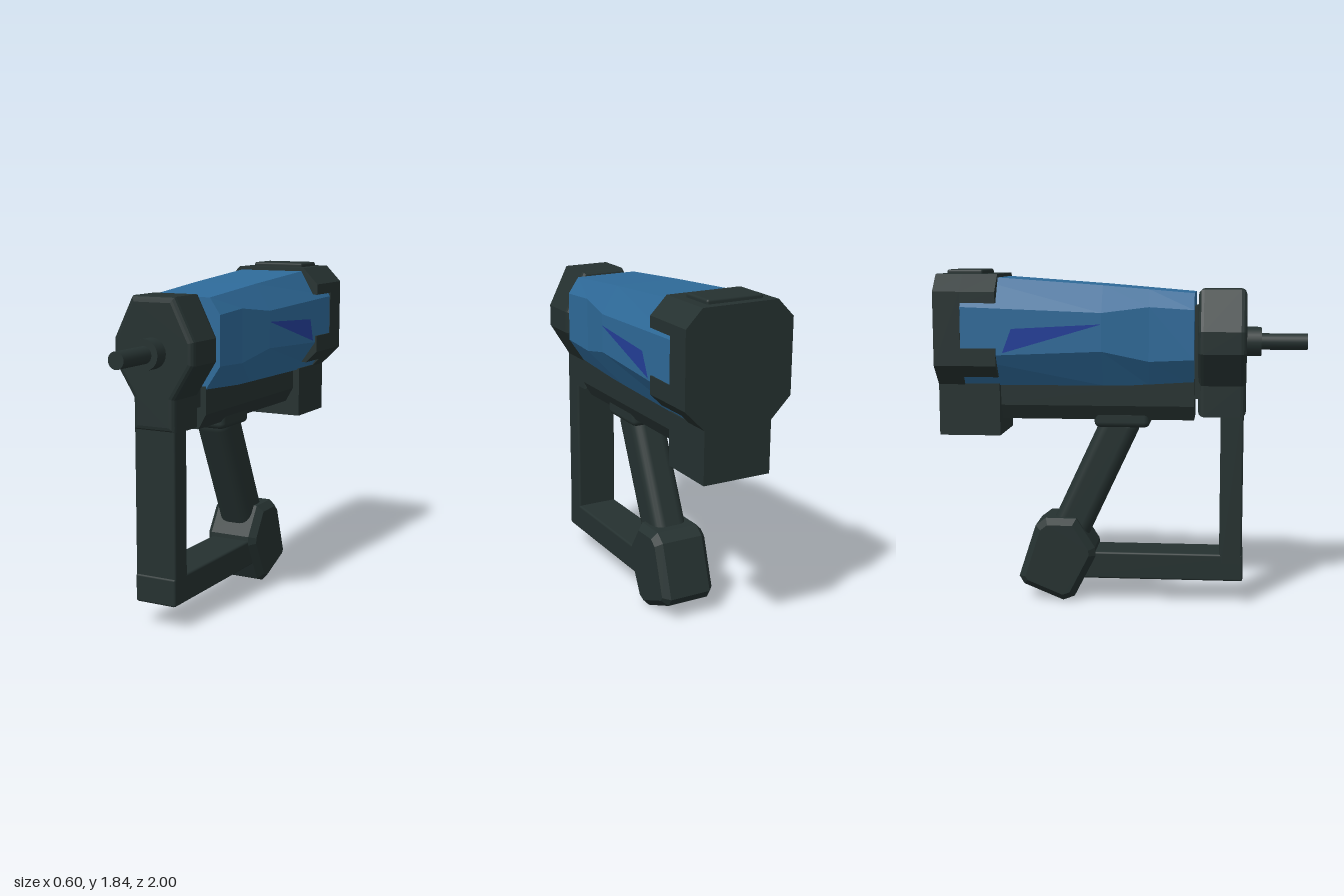
import * as THREE from 'three';
import { RoundedBoxGeometry } from 'three/addons/geometries/RoundedBoxGeometry.js';

const mat = (name, color) => Object.assign(new THREE.MeshStandardMaterial({ color }), { name });

// half outline (top to bottom, +x side) mirrored into a counter-clockwise ring
const mirrorRing = (half) => [...half.slice().reverse(), ...half.map(([x, y]) => [-x, y])];

// outline in XY extruded between z0 and z1, bevel kept inside the outline
function prism(points, z0, z1, bevel = 0, segments = 1) {
  const shape = new THREE.Shape(points.map(([x, y]) => new THREE.Vector2(x, y)));
  const geo = new THREE.ExtrudeGeometry(shape, {
    depth: z1 - z0 - 2 * bevel, bevelEnabled: bevel > 0, bevelThickness: bevel,
    bevelSize: bevel, bevelOffset: -bevel, bevelSegments: segments,
  });
  return geo.translate(0, 0, z0 + bevel);
}

// closed loft through rings of [x, y] placed at descending z
function loft(stations) {
  const pos = [];
  const rings = stations.map(({ z, ring }) => ring.map(([x, y]) => [x, y, z]));
  const n = rings[0].length;
  for (let i = 0; i < rings.length - 1; i++) {
    for (let j = 0; j < n; j++) {
      const k = (j + 1) % n;
      const a = rings[i][j], b = rings[i][k], c = rings[i + 1][k], d = rings[i + 1][j];
      pos.push(...a, ...d, ...b, ...b, ...d, ...c);
    }
  }
  const first = rings[0], last = rings[rings.length - 1];
  for (let j = 1; j < n - 1; j++) {
    pos.push(...first[0], ...first[j], ...first[j + 1]);
    pos.push(...last[0], ...last[j + 1], ...last[j]);
  }
  const geo = new THREE.BufferGeometry();
  geo.setAttribute('position', new THREE.Float32BufferAttribute(pos, 3));
  geo.computeVertexNormals();
  return geo;
}

export function createModel() {
  const group = new THREE.Group();
  const dark = mat('darkCasing', 0x253130);
  const blue = mat('blueShell', 0x2e6a99);
  const accent = mat('indigoAccent', 0x25409c);
  accent.side = THREE.DoubleSide;

  const add = (name, geo, material, x = 0, y = 0, z = 0) => {
    const mesh = new THREE.Mesh(geo, material);
    mesh.name = name;
    mesh.position.set(x, y, z);
    group.add(mesh);
    return mesh;
  };
  const box = (name, w, h, d, r, x, y, z) =>
    add(name, new RoundedBoxGeometry(w, h, d, 2, r), dark, x, y, z);

  // faceted blue shell, widening to the rear
  // z, top half width, top y, side half width, shoulder y, lower crease y, bottom half width
  const sections = [
    [0.39, 0.175, 1.722, 0.235, 1.635, 1.37, 0.135],
    [0.15, 0.18, 1.742, 0.237, 1.65, 1.36, 0.145],
    [-0.1, 0.185, 1.763, 0.274, 1.62, 1.415, 0.155],
    [-0.87, 0.2, 1.818, 0.297, 1.65, 1.385, 0.182],
  ];
  add('shell', loft(sections.map(([z, t, ty, w, sy, ly, b]) => ({
    z, ring: mirrorRing([[t, ty], [w, sy], [w, ly], [b, 1.222]]),
  }))), blue);

  // accent facets on both sides
  for (const s of [1, -1]) {
    const facet = new THREE.BufferGeometry();
    facet.setAttribute('position', new THREE.Float32BufferAttribute([
      s * 0.276, 1.56, -0.1, s * 0.298, 1.535, -0.58, s * 0.293, 1.405, -0.63], 3));
    if (s < 0) facet.setIndex([0, 2, 1]);
    else facet.setIndex([0, 1, 2]);
    facet.computeVertexNormals();
    add(s > 0 ? 'leftAccent' : 'rightAccent', facet, accent);
  }

  // chamfered rail beneath the shell
  add('underBody', prism(mirrorRing([[0.15, 1.26], [0.15, 1.11], [0.105, 1.03]]), -0.7, 0.39), dark);

  // rear cap with forward arms framing the shell
  add('rearCap', prism(mirrorRing(
    [[0.21, 1.822], [0.3, 1.73], [0.3, 1.335], [0.19, 1.225]]), -1, -0.855), dark);
  add('rearCapTopArm', prism(mirrorRing(
    [[0.21, 1.822], [0.3, 1.73], [0.3, 1.67]]), -0.855, -0.665), dark);
  const arm = [[0.2, 1.27], [0.235, 1.27], [0.3, 1.335], [0.3, 1.43], [0.2, 1.43]];
  add('rearCapLeftArm', prism(arm, -0.855, -0.665), dark);
  add('rearCapRightArm', prism(arm.map(([x, y]) => [-x, y]), -0.855, -0.665), dark);
  add('rearBlock', new THREE.BoxGeometry(0.38, 0.285, 0.335), dark, 0, 1.088, -0.8325);
  box('topPad', 0.314, 0.06, 0.197, 0.012, 0, 1.815, -0.852);

  // front housing and its neck
  add('frontHousing', prism(mirrorRing([[0.125, 1.74], [0.235, 1.52], [0.235, 1.4],
    [0.122, 1.22], [0.122, 1.05]]), 0.41, 0.67, 0.03, 3), dark);
  add('neck', new THREE.BoxGeometry(0.234, 0.5, 0.06), dark, 0, 1.4, 0.4);

  // collar and rod
  const rod = (name, r, z0, z1) => add(name,
    new THREE.CylinderGeometry(r, r, z1 - z0, 24).rotateX(Math.PI / 2), dark, 0, 1.455, (z0 + z1) / 2);
  rod('collar', 0.08, 0.65, 0.75);
  rod('frontRod', 0.045, 0.7, 1);

  // guard frame
  box('guardPost', 0.24, 0.88, 0.125, 0.012, 0, 0.66, 0.597);
  box('guardBar', 0.24, 0.152, 0.9, 0.012, 0, 0.209, 0.215);

  // slanted grip with its mount
  box('gripMount', 0.24, 0.1, 0.305, 0.03, 0, 1.035, -0.005);
  const grip = box('grip', 0.2, 0.78, 0.213, 0.06, 0, 0.7, -0.16);
  grip.rotation.x = Math.atan2(0.285, 0.61);

  // chamfered foot, profile in z and y
  const foot = [[-0.26, 0.472], [-0.155, 0.31], [-0.152, 0.26], [-0.27, 0.03], [-0.335, 0.005],
    [-0.555, 0.095], [-0.582, 0.14], [-0.488, 0.43], [-0.43, 0.474]];
  add('foot', prism(foot, -0.155, 0.155, 0.035).rotateY(-Math.PI / 2), dark);

  return group;
}
